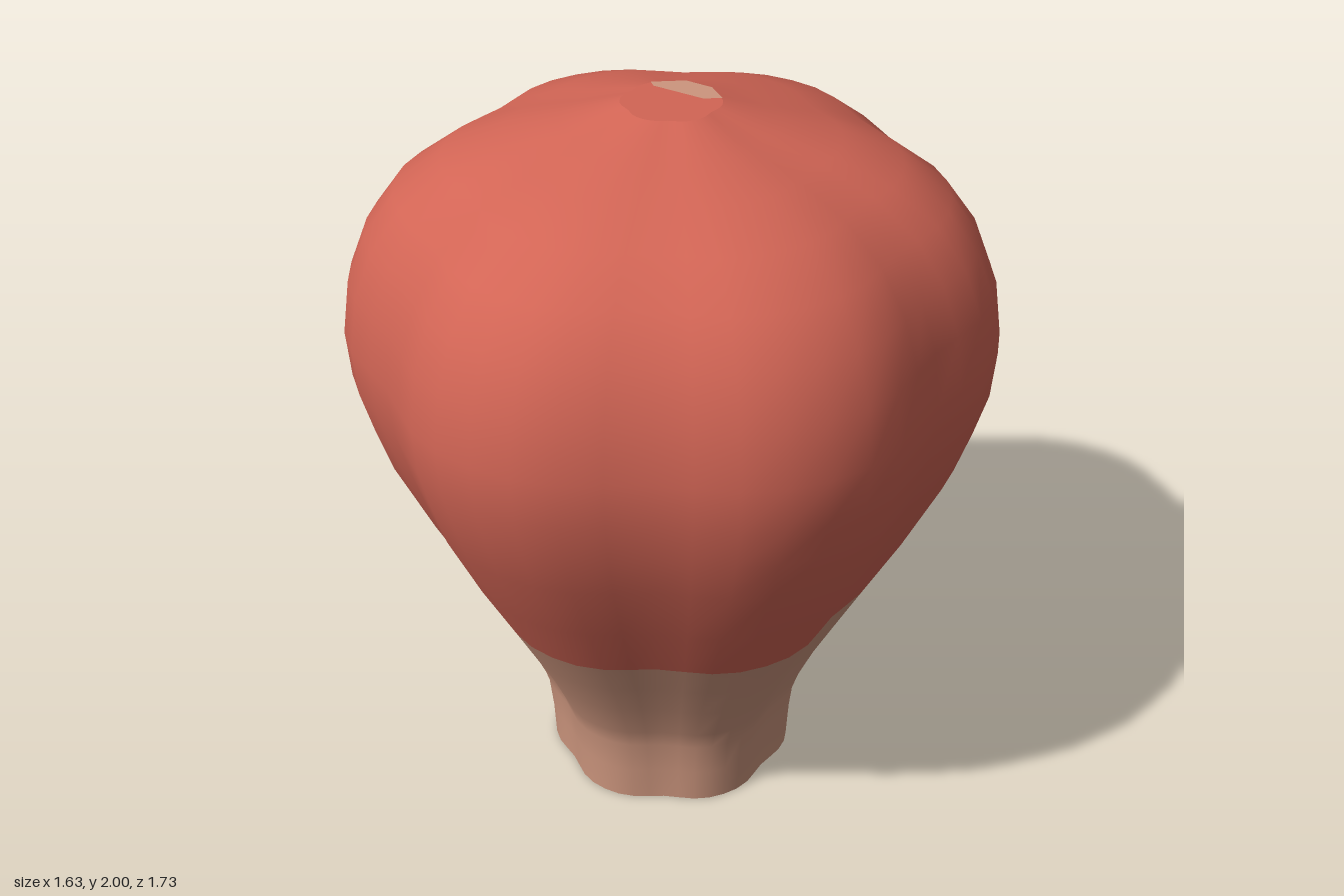
import * as THREE from 'three';

const SIDES = 48;

// [height, radius at the crest of a lobe], from the open neck up to the crown
const PROFILE = [
  [0, 0.34], [0.1, 0.346], [0.2, 0.358], [0.26, 0.378], [0.38, 0.435], [0.5, 0.502], [0.615, 0.567],
  [0.8, 0.673], [1, 0.775], [1.12, 0.817], [1.24, 0.853], [1.37, 0.865], [1.52, 0.845],
  [1.65, 0.795], [1.76, 0.715], [1.85, 0.59], [1.91, 0.435], [1.95, 0.285], [2, 0.13],
];
const NECK_ROWS = 6; // rows of faces below the colour change

// Six rounded lobes; 1 at a crest
const lobe = (a) => (0.838 - 0.033 * Math.cos(6 * a) - 0.006 * Math.cos(12 * a)) / 0.865;

function ring(radius) {
  return Array.from({ length: SIDES }, (_, j) => {
    const a = (j / SIDES) * Math.PI * 2;
    const r = radius * lobe(a);
    return [r * Math.cos(a), r * Math.sin(a)];
  });
}

// Flat upward-facing face from [x, z] points
function flatFace(points, y) {
  const shape = new THREE.Shape(points.map(([x, z]) => new THREE.Vector2(x, -z)));
  return new THREE.ShapeGeometry(shape).rotateX(-Math.PI / 2).translate(0, y, 0);
}

function lobedBody() {
  const positions = [];
  const index = [];
  PROFILE.forEach(([y, r]) => ring(r).forEach(([x, z]) => positions.push(x, y, z)));
  for (let i = 0; i < PROFILE.length - 1; i++) {
    for (let j = 0; j < SIDES; j++) {
      const a = i * SIDES + j;
      const b = i * SIDES + ((j + 1) % SIDES);
      index.push(a, a + SIDES, b, b, a + SIDES, b + SIDES);
    }
  }
  const geometry = new THREE.BufferGeometry();
  geometry.setAttribute('position', new THREE.Float32BufferAttribute(positions, 3));
  geometry.setIndex(index);
  geometry.computeVertexNormals();
  const split = NECK_ROWS * SIDES * 6;
  geometry.addGroup(0, split, 0);
  geometry.addGroup(split, index.length - split, 1);
  return geometry;
}

export function createModel() {
  const group = new THREE.Group();
  group.name = 'lobedBulb';

  const tan = new THREE.MeshStandardMaterial({ color: 0xcd967e, side: THREE.DoubleSide });
  tan.name = 'tan';
  const red = new THREE.MeshStandardMaterial({ color: 0xd26555, side: THREE.DoubleSide });
  red.name = 'red';

  const add = (name, geometry, material) => {
    const mesh = new THREE.Mesh(geometry, material);
    mesh.name = name;
    group.add(mesh);
  };

  // Tan neck, open below, flowing into the red lobed bulb
  add('neckAndBulb', lobedBody(), [tan, red]);

  // Flat crown closing the top
  add('crown', flatFace(ring(0.13), 2), red);

  // Small tan patch at the back of the crown
  const patch = [[-0.11, -0.07], [-0.04, -0.127], [0.04, -0.127], [0.098, -0.085], [0.06, -0.055], [-0.09, -0.053]];
  add('crownPatch', flatFace(patch, 2.002), tan);

  return group;
}
